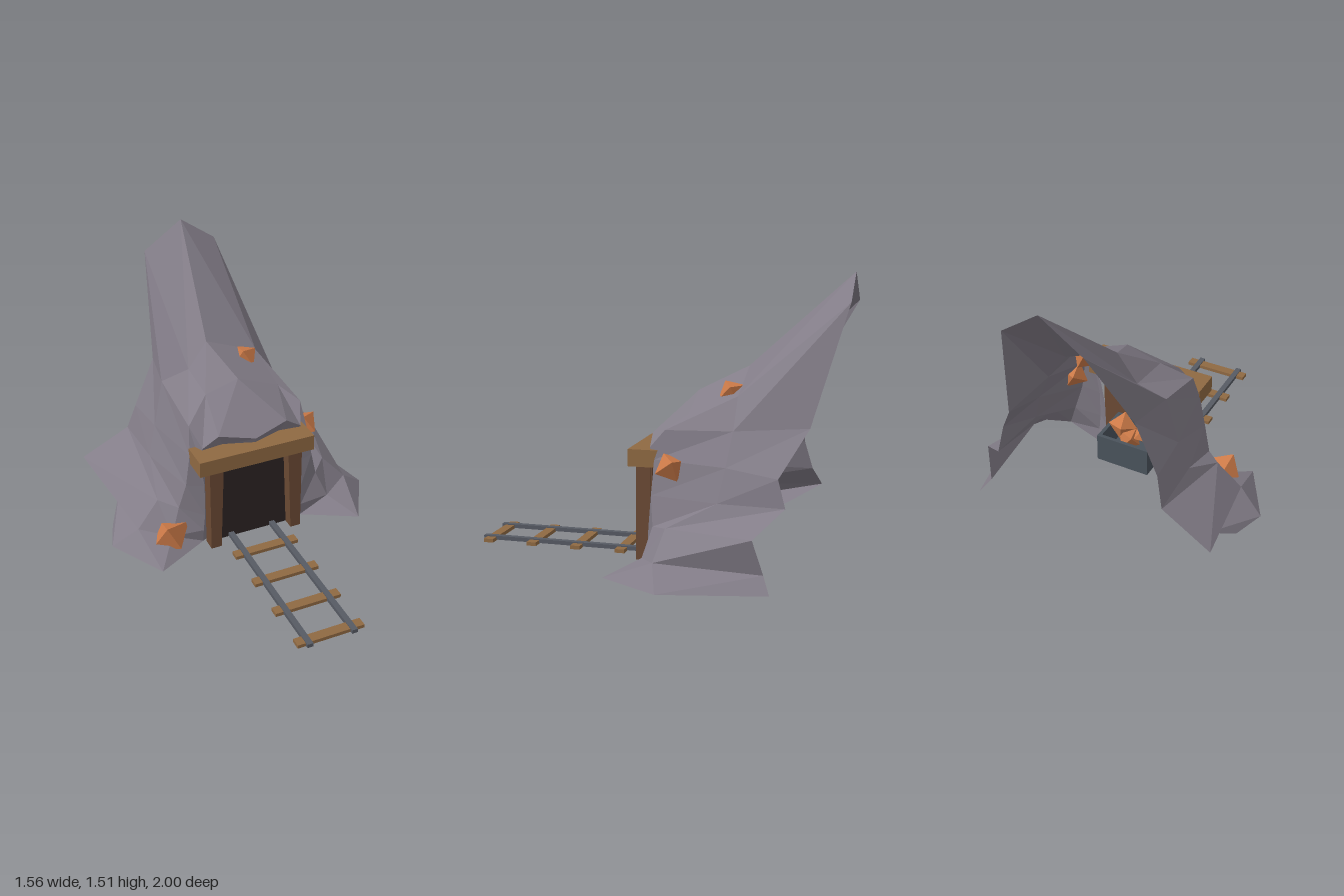
import * as THREE from 'three';

const mat = (name, color, extra = {}) => {
  const m = new THREE.MeshStandardMaterial({ color, flatShading: true, ...extra });
  m.name = name;
  return m;
};

export function createModel() {
  const rock = mat('rock grey', 0x837d88, { side: THREE.DoubleSide });
  const wood = mat('light wood', 0x8f6942);
  const darkWood = mat('dark wood', 0x6b4a34);
  const dark = mat('tunnel dark', 0x2b2322);
  const ore = mat('copper ore', 0xcc7a48);
  const rail = mat('rail steel', 0x565a63);
  const iron = mat('cart iron', 0x4a535c);

  const model = new THREE.Group();
  const add = (name, geo, material, parent = model) => {
    const m = new THREE.Mesh(geo, material);
    m.name = name;
    parent.add(m);
    return m;
  };
  // box given by its limits on each axis
  const box = (name, material, [x0, x1], [y0, y1], [z0, z1], parent) => {
    const m = add(name, new THREE.BoxGeometry(x1 - x0, y1 - y0, z1 - z0), material, parent);
    m.position.set((x0 + x1) / 2, (y0 + y1) / 2, (z0 + z1) / 2);
  };

  // Rock shell: half arches from foot to crown, front to back, mirrored across x
  const halfArches = [
    [[-.3, .02, -.01], [-.3, .1, 0], [-.29, .2, 0], [-.28, .38, -.02], [-.3, .54, -.03], [-.29, .63, -.01], [-.2, .69, 0], [0, .65, .04]],
    [[-.6, .02, .15], [-.48, .1, -.02], [-.42, .25, -.06], [-.38, .4, -.04], [-.35, .58, -.05], [-.33, .73, -.1], [-.19, .84, -.2], [0, .895, -.2]],
    [[-.78, .02, -.17], [-.64, .13, -.12], [-.51, .27, -.15], [-.46, .4, -.4], [-.41, .57, -.43], [-.35, .83, -.45], [-.19, .87, -.45], [-.08, 1.02, -.45]],
    [[-.72, .02, -.35], [-.62, .12, -.52], [-.75, .25, -.76], [-.475, .4, -.74], [-.43, .56, -.7], [-.31, .84, -.7], [-.225, 1.365, -1], [0, 1.52, -1]],
  ];
  const arches = halfArches.map(half => [...half, ...half.slice(0, -1).reverse().map(([x, y, z]) => [-x, y, z])]);
  // points where the +x side breaks the mirror: arch, index, x, y, z
  [[1, 8, .24, .8, -.2], [2, 8, .22, .9, -.45], [2, 9, .33, .74, -.45], [3, 8, .2, 1.38, -1], [3, 9, .32, .77, -.83],
    [3, 10, .46, .54, -.7], [3, 12, .64, .28, -.61], [3, 13, .6, .1, -.66], [3, 14, .66, .02, -.7],
  ].forEach(([arch, i, ...p]) => { arches[arch][i] = p; });
  // inner lip tucked in behind the door frame
  arches.unshift(arches[0].map(([x, y, z]) => [x * .82, .02 + (y - .02) * .88, z - .03]));

  const pos = [];
  for (let r = 0; r < arches.length - 1; r++) {
    for (let c = 0; c < 14; c++) {
      const a = arches[r][c], b = arches[r][c + 1], d = arches[r + 1][c], e = arches[r + 1][c + 1];
      // diagonals mirror about the middle
      const tris = c < 7 ? [a, b, e, a, e, d] : [a, b, d, b, e, d];
      tris.forEach(p => pos.push(...p));
    }
  }
  const shell = new THREE.BufferGeometry();
  shell.setAttribute('position', new THREE.Float32BufferAttribute(pos, 3));
  shell.computeVertexNormals();
  add('rockShell', shell, rock);

  // Door frame: posts with slightly sloped inner edges, and a lintel
  const prism = (pts, depth) => new THREE.ExtrudeGeometry(
    new THREE.Shape(pts.map(p => new THREE.Vector2(...p))), { depth, bevelEnabled: false });
  add('postRight', prism([[-.285, .02], [-.225, .02], [-.205, .53], [-.285, .53]], .075), darkWood);
  add('postLeft', prism([[.2, .02], [.26, .02], [.26, .53], [.178, .53]], .075), darkWood);
  box('lintel', wood, [-.35, .32], [.53, .62], [-.06, .1]);

  // Dark opening on a wooden back board
  box('backBoard', darkWood, [-.27, .25], [.02, .53], [-.01, .002]);
  add('opening', prism([[-.225, .02], [.2, .02], [.178, .53], [-.205, .53]], .006), dark).position.z = .004;

  // Track
  [.195, .447, .7, .953].forEach(z => box('tie', wood, [-.2, .175], [.02, .04], [z - .027, z + .027]));
  [-.14, .11].forEach(x => box('rail', rail, [x - .016, x + .016], [.024, .046], [.01, 1]));

  // Ore crystals
  const crystal = (name, p, s, rot, parent) => {
    const m = add(name, new THREE.OctahedronGeometry(1), ore, parent);
    m.position.set(...p);
    m.scale.set(...s);
    m.rotation.set(...rot);
  };
  crystal('oreLow', [-.485, .105, -.03], [.125, .12, .1], [.5, .3, .35]);
  crystal('oreSide', [.375, .55, -.14], [.09, .08, .085], [.4, .5, .3]);
  crystal('oreTop', [.13, .905, -.4], [.075, .075, .08], [.5, .3, .4]);

  // Cart behind the doorway, open on top and loaded with ore
  const cart = new THREE.Group();
  cart.name = 'cart';
  model.add(cart);
  const X = [-.16, .145], Y = [.15, .31], Z = [-.29, -.05], t = .02;
  box('cartFloor', iron, X, [Y[0], Y[0] + t], Z, cart);
  box('cartBack', iron, X, Y, [Z[0], Z[0] + t], cart);
  box('cartFront', iron, X, Y, [Z[1] - t, Z[1]], cart);
  box('cartSide', iron, [X[0], X[0] + t], Y, [Z[0] + t, Z[1] - t], cart);
  box('cartSide', iron, [X[1] - t, X[1]], Y, [Z[0] + t, Z[1] - t], cart);
  [[.05, .33, -.17, .08], [-.07, .3, -.15, .07], [0, .28, -.19, .07]].forEach(([x, y, z, s], i) =>
    crystal('cartOre', [x, y, z], [s, s, s], [.4 + i, .3, .5 * i], cart));

  return model;
}
